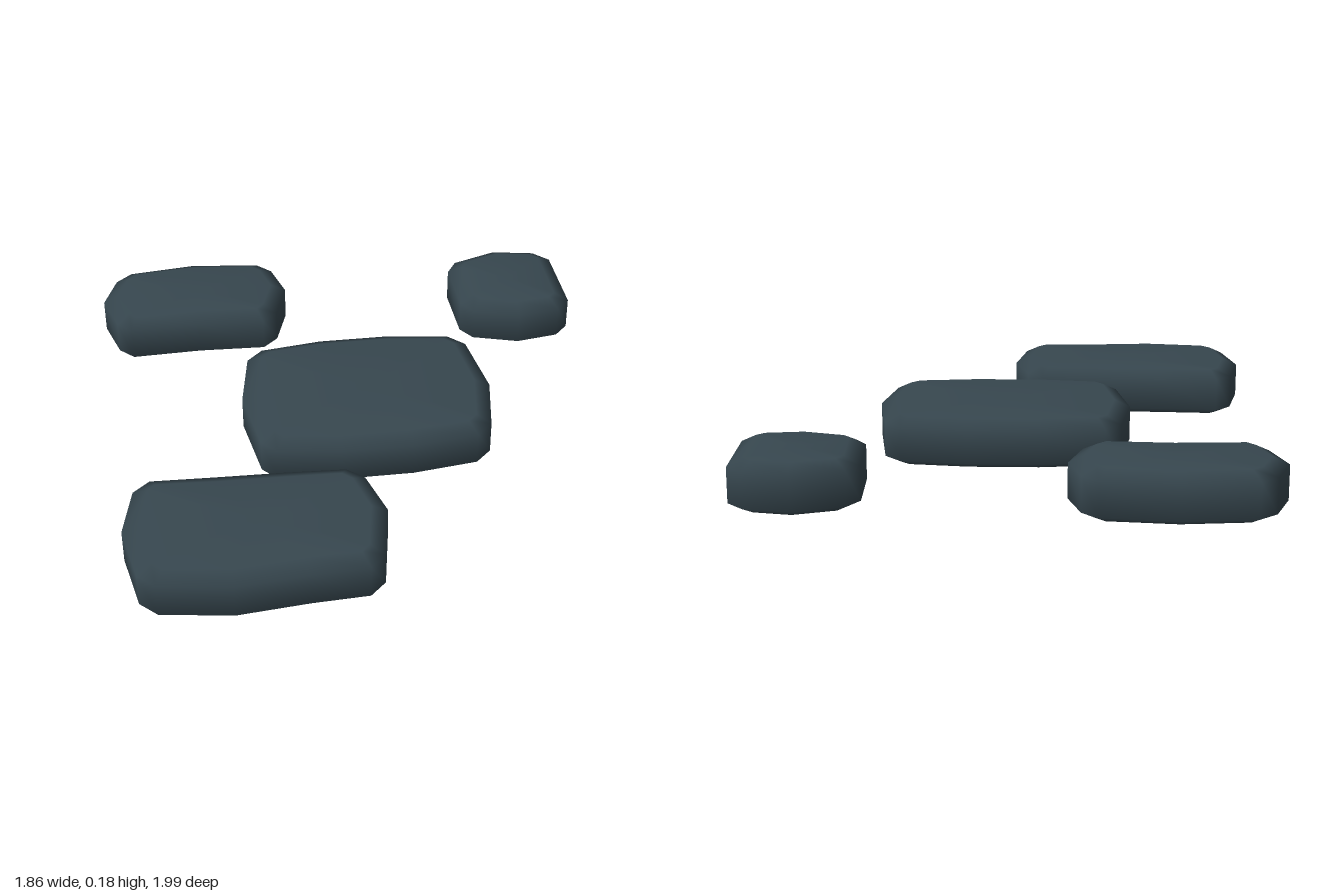
import * as THREE from 'three';

const HEIGHT = 0.18, BEVEL_IN = 0.058, BEVEL_UP = 0.028;

// Outlines as [x, z], clockwise seen from above
const STONES = {
  centreStone: [[-0.43, -0.03], [-0.39, -0.28], [-0.33, -0.34], [-0.1, -0.373], [0.16, -0.373], [0.4, -0.34], [0.46, -0.28],
    [0.5, 0], [0.46, 0.24], [0.4, 0.3], [0.16, 0.333], [-0.1, 0.333], [-0.33, 0.3], [-0.385, 0.24]],
  frontRightStone: [[-0.893, 0.67], [-0.85, 0.465], [-0.79, 0.41], [-0.56, 0.418], [-0.32, 0.424], [-0.1, 0.435], [-0.04, 0.49],
    [0.013, 0.675], [-0.027, 0.9], [-0.085, 0.958], [-0.285, 0.968], [-0.54, 0.993], [-0.79, 0.955], [-0.85, 0.895]],
  backRightStone: [[-0.93, -0.765], [-0.876, -0.915], [-0.815, -0.97], [-0.56, -1], [-0.296, -0.97], [-0.24, -0.915],
    [-0.197, -0.765], [-0.248, -0.6], [-0.306, -0.545], [-0.56, -0.555], [-0.825, -0.545], [-0.88, -0.6]],
  backLeftStone: [[0.487, -0.81], [0.528, -0.877], [0.703, -0.94], [0.866, -0.91], [0.924, -0.85],
    [0.93, -0.533], [0.876, -0.476], [0.712, -0.45], [0.538, -0.502], [0.495, -0.565]],
};

// Move each outline corner inwards along the average of its two edge normals
function inset(outline, d) {
  const n = outline.length;
  return outline.map(([x, z], i) => {
    const p = outline[(i + n - 1) % n], q = outline[(i + 1) % n];
    const a = new THREE.Vector2(p[1] - z, x - p[0]).normalize();
    const b = new THREE.Vector2(z - q[1], q[0] - x).normalize();
    const m = a.add(b).normalize();
    return [x + m.x * d, z + m.y * d];
  });
}

// Smooth slab: four rings (bevel, wall, bevel) closed with a fan at each end
function slab(outline) {
  const n = outline.length, inner = inset(outline, BEVEL_IN);
  const rings = [[inner, 0], [outline, BEVEL_UP], [outline, HEIGHT - BEVEL_UP], [inner, HEIGHT]];
  const pos = [], idx = [];
  for (const [ring, y] of rings) for (const [x, z] of ring) pos.push(x, y, z);
  const cx = inner.reduce((s, p) => s + p[0], 0) / n;
  const cz = inner.reduce((s, p) => s + p[1], 0) / n;
  pos.push(cx, 0, cz, cx, HEIGHT, cz);
  for (let i = 0; i < n; i++) {
    const k = (i + 1) % n;
    for (let j = 0; j < 3; j++) {
      const a = j * n + i, b = j * n + k;
      idx.push(a, a + n, b + n, a, b + n, b);
    }
    idx.push(4 * n, i, k, 4 * n + 1, 3 * n + k, 3 * n + i);
  }
  const g = new THREE.BufferGeometry();
  g.setAttribute('position', new THREE.Float32BufferAttribute(pos, 3));
  g.setIndex(idx);
  g.computeVertexNormals();
  return g;
}

export function createModel() {
  const group = new THREE.Group();
  group.name = 'steppingStones';
  const slate = new THREE.MeshStandardMaterial({ color: 0x37474f });
  slate.name = 'slate';
  for (const [name, outline] of Object.entries(STONES)) {
    const mesh = new THREE.Mesh(slab(outline), slate);
    mesh.name = name;
    group.add(mesh);
  }
  return group;
}
